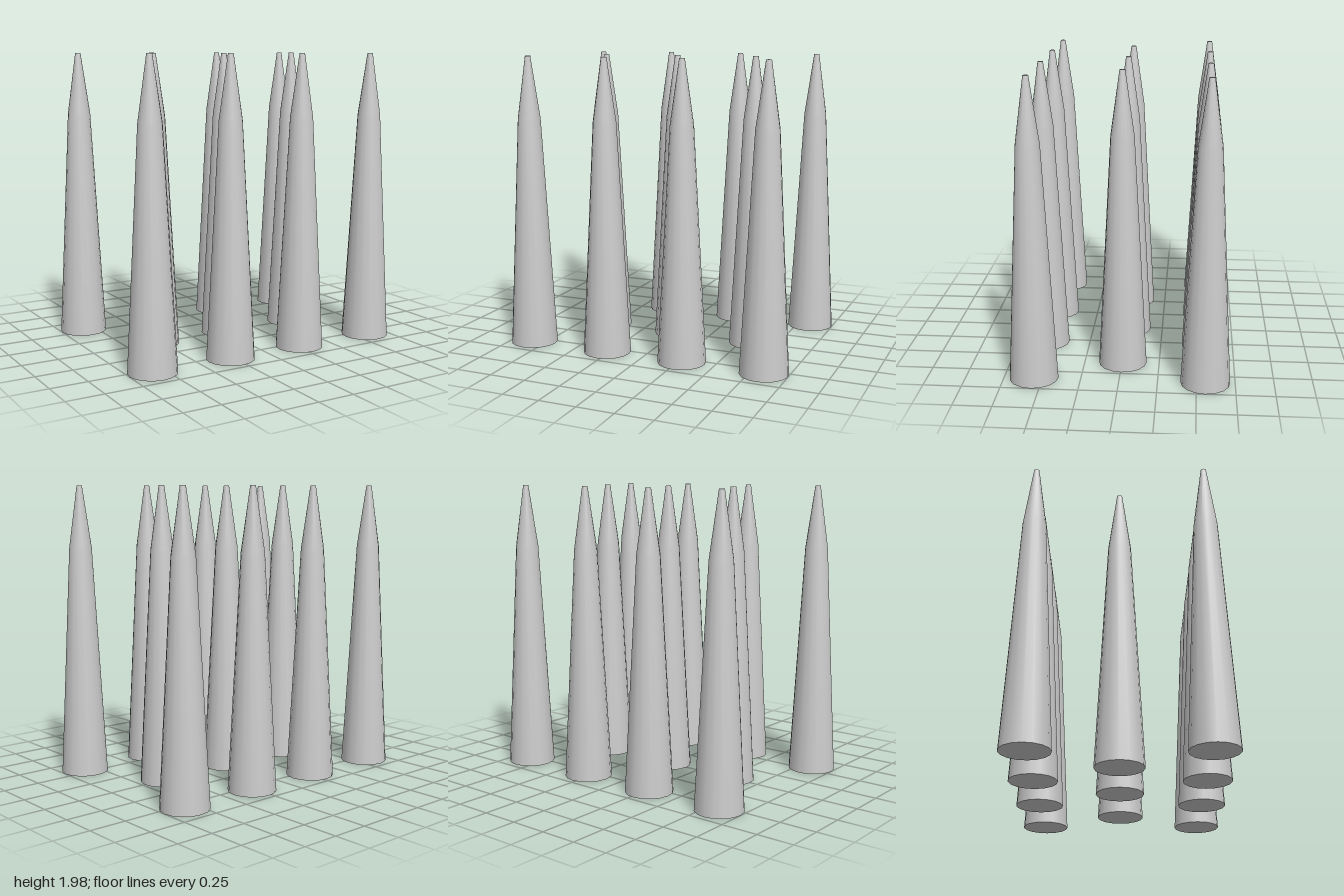
import * as THREE from 'three';
import { toCreasedNormals } from 'three/addons/utils/BufferGeometryUtils.js';

export function createModel() {
  const model = new THREE.Group();
  model.name = 'spikeField';
  const material = new THREE.MeshStandardMaterial({ color: 0xcccccc });

  // Tapered shaft, steeper tip and small blunt end, closed at both ends
  const profile = [[0, 0], [0.16, 0], [0.077, 1.56], [0.018, 1.98], [0, 1.98]]
    .map(([r, y]) => new THREE.Vector2(r, y));
  const spikeGeometry = toCreasedNormals(new THREE.LatheGeometry(profile, 16), 0.6);

  // Three staggered rows
  const outer = [-0.84, -0.272, 0.274, 0.84];
  const rows = [
    { name: 'backRow', z: -0.557, xs: outer },
    { name: 'middleRow', z: -0.005, xs: [-0.535, 0.01, 0.573] },
    { name: 'frontRow', z: 0.555, xs: outer },
  ];

  for (const { name, z, xs } of rows) {
    const row = new THREE.Group();
    row.name = name;
    xs.forEach((x, i) => {
      const spike = new THREE.Mesh(spikeGeometry, material);
      spike.name = `spike${i + 1}`;
      spike.position.set(x, 0, z);
      row.add(spike);
    });
    model.add(row);
  }
  return model;
}
